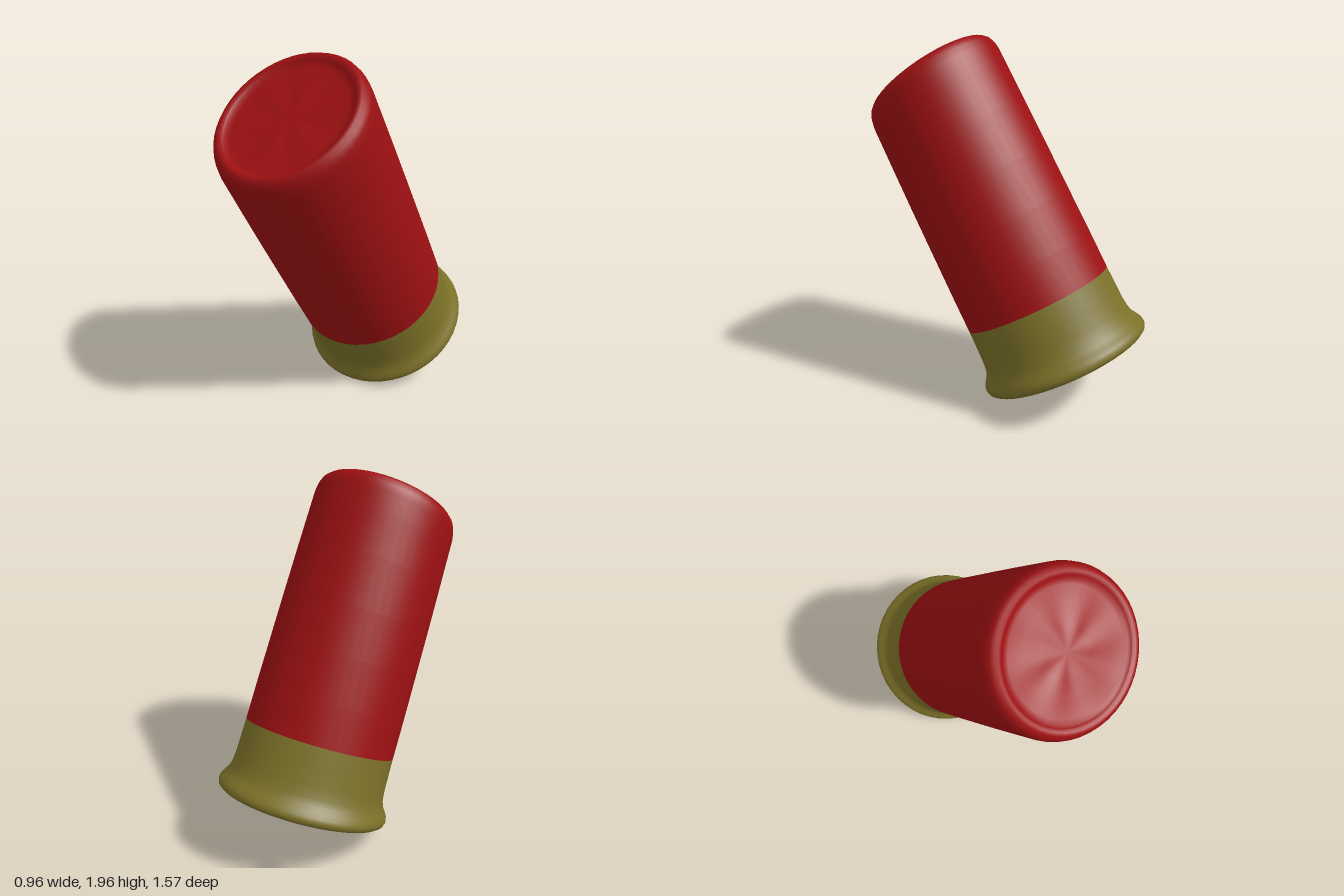
import * as THREE from 'three';
import { mergeVertices } from 'three/addons/utils/BufferGeometryUtils.js';

const red = new THREE.MeshStandardMaterial({ color: 0x9c1012 });
red.name = 'red plastic';
const brass = new THREE.MeshStandardMaterial({ color: 0x7b7028 });
brass.name = 'dull brass';

// Revolves a [radius, height] profile, then slants the two ends slightly.
function turned(name, profile, material, folds = 0) {
  const geo = new THREE.LatheGeometry(profile.map(([r, y]) => new THREE.Vector2(r, y)), 48);
  const pos = geo.attributes.position;
  for (let i = 0; i < pos.count; i++) {
    const x = pos.getX(i), y = pos.getY(i), z = pos.getZ(i);
    const top = THREE.MathUtils.smoothstep(y, 0.9, 1.68);
    const base = 1 - THREE.MathUtils.smoothstep(y, 0.1, 0.35);
    const r = Math.hypot(x, z);
    // soft star-shaped crimp folds, fading at the centre and the lip
    const fold = folds * Math.cos(6 * Math.atan2(x, z)) * Math.sin(Math.PI * Math.min(r / 0.34, 1));
    pos.setY(i, y + (0.03 * base - 0.146 * top) * z + fold);
  }
  geo.deleteAttribute('uv');
  geo.deleteAttribute('normal');
  const smooth = mergeVertices(geo, 1e-4);
  smooth.computeVertexNormals();
  const mesh = new THREE.Mesh(smooth, material);
  mesh.name = name;
  return mesh;
}

export function createModel() {
  const group = new THREE.Group();
  group.name = 'tiltedCartridge';

  const shell = new THREE.Group();
  shell.name = 'shell';

  // Flat base disc
  shell.add(turned('baseDisc', [[0, 0], [0.2, 0], [0.44, 0]], brass));

  // Flared rim and metal cup
  shell.add(turned('metalCup', [
    [0.44, 0], [0.46, 0.003], [0.475, 0.014], [0.481, 0.032], [0.477, 0.052],
    [0.463, 0.075], [0.446, 0.1], [0.435, 0.135], [0.429, 0.19], [0.427, 0.28], [0.425, 0.38],
  ], brass));

  // Tube wall with rounded lip
  shell.add(turned('tube', [
    [0.425, 0.38], [0.424, 0.6], [0.421, 0.85], [0.418, 1.1], [0.414, 1.35],
    [0.41, 1.55], [0.408, 1.66], [0.402, 1.7], [0.39, 1.73], [0.372, 1.748],
    [0.355, 1.75], [0.34, 1.742],
  ], red));

  // Shallow recessed end with crimp folds
  shell.add(turned('crimpedEnd', [
    [0.34, 1.742], [0.325, 1.73], [0.3, 1.724], [0.22, 1.722], [0.12, 1.722], [0, 1.722],
  ], red, 0.004));

  // Lean the whole shell toward the front
  shell.rotation.x = THREE.MathUtils.degToRad(29.3);
  shell.position.set(0, 0.225, -0.38);
  group.add(shell);
  return group;
}
